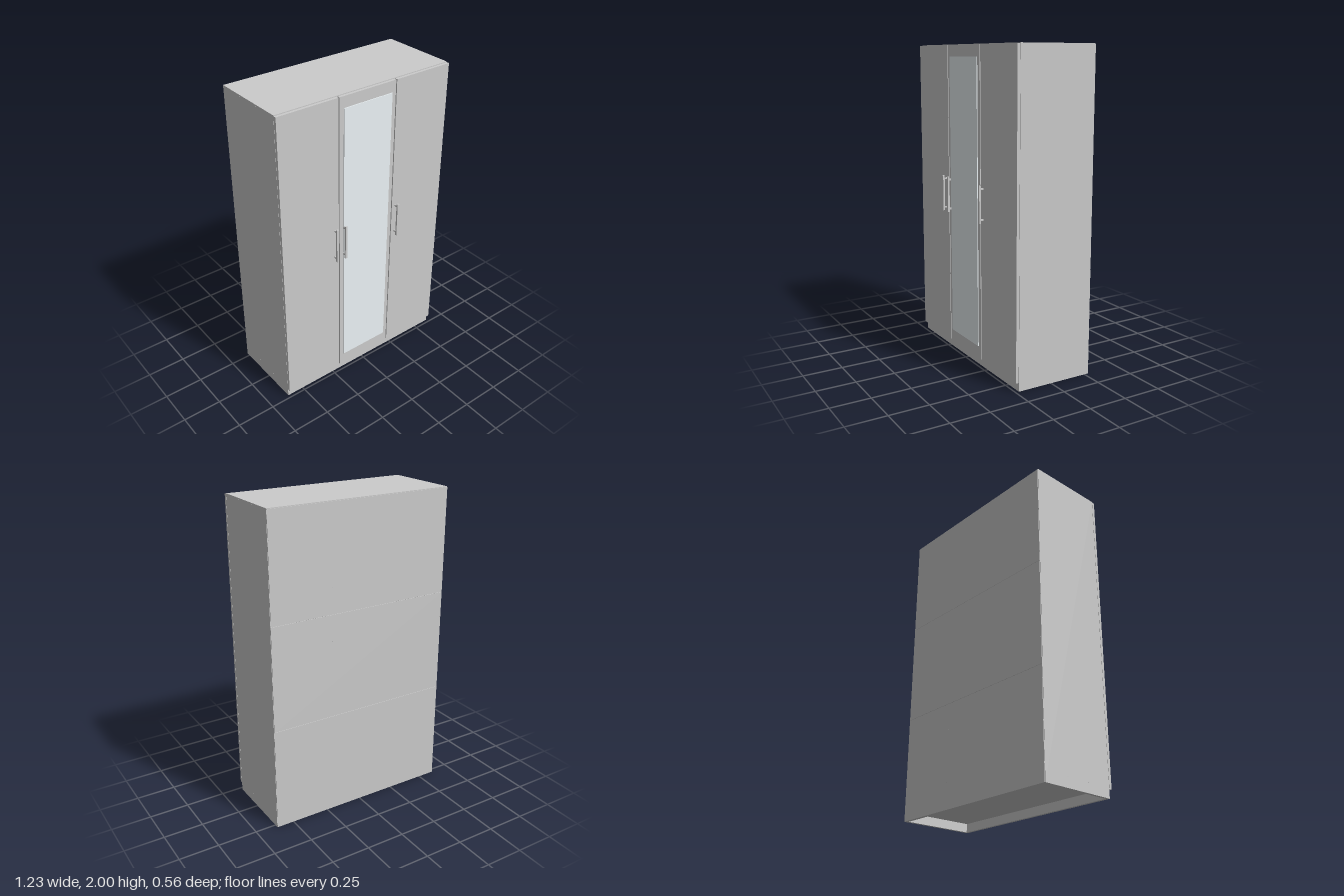
import * as THREE from 'three';

const grey = new THREE.MeshStandardMaterial({ color: 0xcccccc });
const mirrorGlass = new THREE.MeshStandardMaterial({ color: 0xecf3f6 });

// Box given by its limits on each axis
function panel(parent, name, [x0, x1], [y0, y1], [z0, z1], material = grey) {
  const mesh = new THREE.Mesh(new THREE.BoxGeometry(x1 - x0, y1 - y0, z1 - z0), material);
  mesh.position.set((x0 + x1) / 2, (y0 + y1) / 2, (z0 + z1) / 2);
  mesh.name = name;
  parent.add(mesh);
  return mesh;
}

// Small round head whose axis lies along x or z
function screw(parent, axis, x, y, z) {
  const mesh = new THREE.Mesh(new THREE.CylinderGeometry(0.003, 0.003, 0.002, 10), grey);
  if (axis === 'x') mesh.rotation.z = Math.PI / 2;
  else mesh.rotation.x = Math.PI / 2;
  mesh.position.set(x, y, z);
  mesh.name = 'screwHead';
  parent.add(mesh);
}

// Vertical bar handle on two posts
function handle(x) {
  const group = new THREE.Group();
  group.name = 'handle';
  panel(group, 'handleBar', [x - 0.007, x + 0.007], [0.94, 1.17], [0.268, 0.279]);
  for (const y of [0.96, 1.15]) {
    panel(group, 'handlePost', [x - 0.004, x + 0.004], [y - 0.005, y + 0.005], [0.247, 0.269]);
  }
  return group;
}

export function createModel() {
  const model = new THREE.Group();
  model.name = 'wardrobe';
  const W = 0.615, T = 0.018, back = -0.275, front = 0.228, floorY = 0.055;
  const inner = [-W + T, W - T];

  // Carcass
  const carcass = new THREE.Group();
  carcass.name = 'carcass';
  model.add(carcass);
  for (const s of [-1, 1]) {
    const x = s * (W - T / 2);
    panel(carcass, 'sidePanel', [x - T / 2, x + T / 2], [0, 2], [back, front]);
    for (const y of [0.063, 1.99]) {
      for (const z of [0.06, -0.105]) screw(carcass, 'x', s * W, y, z);
    }
  }
  panel(carcass, 'topPanel', inner, [2 - T, 2], [back, front]);
  panel(carcass, 'floorPanel', inner, [floorY, floorY + T], [back, front]);
  panel(carcass, 'partition', [0.195, 0.213], [floorY + T, 2 - T], [back, front]);
  panel(carcass, 'frontPlinth', inner, [0, floorY], [front - T, front]);
  panel(carcass, 'backPlinth', inner, [0, floorY], [back, back + T]);

  // Three back sheets with narrow seams
  const third = 1.996 / 3;
  for (let i = 0; i < 3; i++) {
    panel(carcass, 'backSheet', [-W + 0.002, W - 0.002],
      [i * third + (i ? 0.001 : 0), (i + 1) * third - 0.001], [-0.279, back]);
    for (const y of [0.25, 0.75]) {
      for (const x of [-0.607, 0.204, 0.607]) screw(carcass, 'z', x, (i + y) * third, -0.279);
    }
  }

  // Doors, with hinges bridging to the carcass
  for (const [x0, x1, hingeX] of [[-W, -0.211, -0.595], [-0.204, 0.201, 0.18], [0.208, W, 0.592]]) {
    panel(model, 'door', [x0, x1], [floorY, 1.996], [0.23, 0.248]);
    for (const y of [0.2, 1.02, 1.85]) {
      panel(model, 'hinge', [hingeX - 0.018, hingeX + 0.018], [y - 0.012, y + 0.012], [0.22, 0.231]);
    }
  }
  panel(model, 'mirror', [-0.175, 0.172], [0.135, 1.925], [0.248, 0.253], mirrorGlass);

  // Handles
  for (const x of [-0.24, -0.175, 0.236]) model.add(handle(x));
  return model;
}
